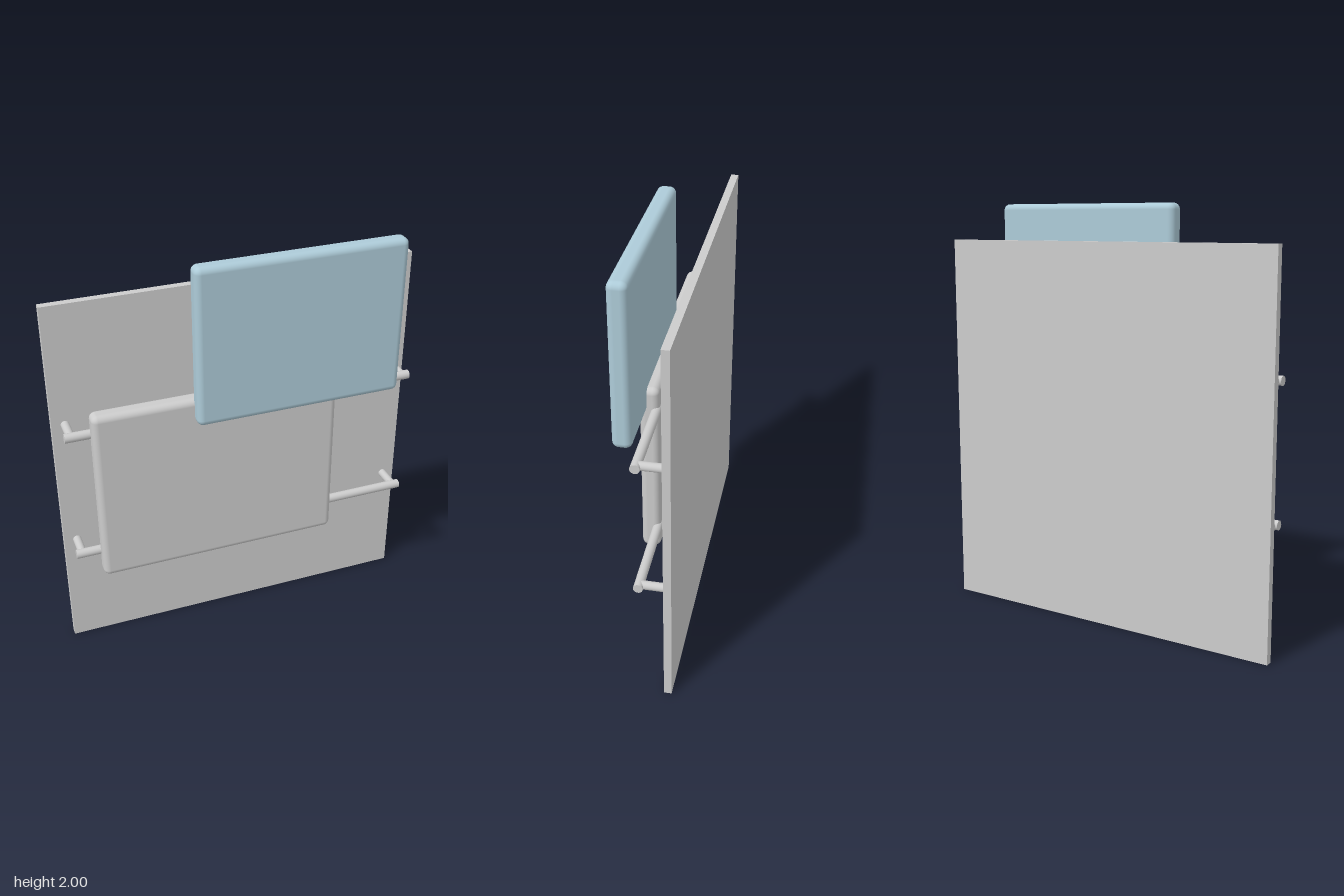
import * as THREE from 'three';
import { RoundedBoxGeometry } from 'three/addons/geometries/RoundedBoxGeometry.js';

export function createModel() {
  const group = new THREE.Group();
  const grey = new THREE.MeshStandardMaterial({ color: 0xcccccc });
  grey.name = 'light grey';
  const blue = new THREE.MeshStandardMaterial({ color: 0xadcbd8 });
  blue.name = 'pale blue';

  const add = (name, geometry, material, x, y, z) => {
    const mesh = new THREE.Mesh(geometry, material);
    mesh.name = name;
    mesh.position.set(x, y, z);
    group.add(mesh);
    return mesh;
  };

  // Rounded panel given by its extents
  const panel = (name, material, [x0, x1], [y0, y1], [z0, z1]) =>
    add(name, new RoundedBoxGeometry(x1 - x0, y1 - y0, z1 - z0, 4, 0.03), material,
      (x0 + x1) / 2, (y0 + y1) / 2, (z0 + z1) / 2);

  // Flat backing board
  add('backBoard', new THREE.BoxGeometry(1.764, 1.826, 0.036), grey, 0, 0.913, -0.122);

  // Two overlapping sliding panels
  panel('lowerPanel', grey, [-0.735, 0.438], [0.478, 1.355], [0.0, 0.088]);
  panel('upperPanel', blue, [-0.265, 0.732], [1.24, 2.0], [0.053, 0.14]);

  // Horizontal rails, each held off the board by two pegs
  const railGeometry = new THREE.CylinderGeometry(0.022, 0.022, 1.7, 24).rotateZ(Math.PI / 2);
  const pegGeometry = new THREE.CylinderGeometry(0.02, 0.02, 0.12, 24).rotateX(Math.PI / 2);
  for (const y of [0.594, 1.24]) {
    add('rail', railGeometry, grey, 0, y, 0.014);
    for (const side of [-1, 1]) add('railPeg', pegGeometry, grey, side * 0.82, y, -0.05);
  }
  return group;
}
